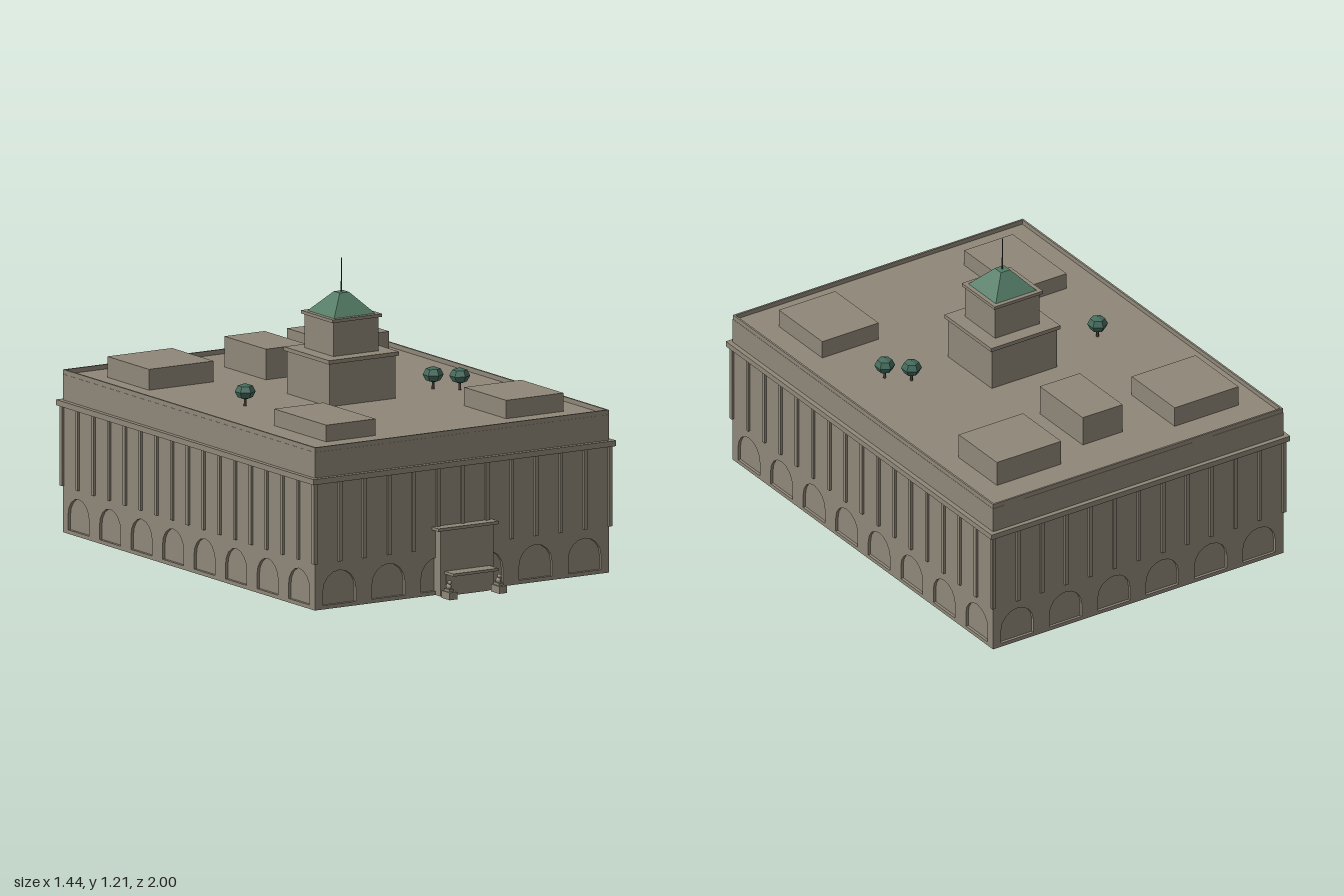
import * as THREE from 'three';

const mat = (name, color, opts = {}) => {
  const m = new THREE.MeshStandardMaterial({ color, ...opts });
  m.name = name;
  return m;
};

export function createModel() {
  const model = new THREE.Group();
  const stone = mat('stone', 0x8f8778);
  const wallStone = stone.clone();
  wallStone.side = THREE.DoubleSide;
  const copper = mat('copper green', 0x527a64, { flatShading: true });
  const leaf = mat('leaf green', 0x41695a, { flatShading: true });
  const dark = mat('dark metal', 0x45504b);
  const bark = mat('bark', 0x4a4238);

  const add = (name, geo, material, x = 0, y = 0, z = 0, parent = model) => {
    const m = new THREE.Mesh(geo, material);
    m.name = name;
    m.position.set(x, y, z);
    parent.add(m);
    return m;
  };
  // Box given by its extents on each axis
  const block = (name, x0, x1, y0, y1, z0, z1, material = stone, parent = model) =>
    add(name, new THREE.BoxGeometry(x1 - x0, y1 - y0, z1 - z0), material,
      (x0 + x1) / 2, (y0 + y1) / 2, (z0 + z1) / 2, parent);

  const HX = 0.7, HZ = 0.93, CZ = -0.05;
  const BASE = 0.19, EAVE = 0.517, ROOF = 0.645, RECESS = 0.012;

  // One facade: arcaded base, upper wall and a row of pilasters
  function facade(name, length, arches, distance, angle) {
    const g = new THREE.Group();
    g.name = name;
    g.position.z = CZ;
    g.rotation.y = angle;
    model.add(g);

    const shape = new THREE.Shape();
    shape.moveTo(-length / 2, 0);
    shape.lineTo(length / 2, 0);
    shape.lineTo(length / 2, BASE);
    shape.lineTo(-length / 2, BASE);
    shape.closePath();
    const bay = length / arches, r = 0.078;
    for (let i = 0; i < arches; i++) {
      const c = -length / 2 + (i + 0.5) * bay;
      const hole = new THREE.Path();
      hole.moveTo(c - r, 0.016);
      hole.lineTo(c - r, 0.075);
      for (let k = 0; k <= 8; k++) {
        const a = Math.PI * (1 - k / 8);
        hole.lineTo(c + r * Math.cos(a), 0.075 + r * Math.sin(a));
      }
      hole.lineTo(c + r, 0.016);
      hole.closePath();
      shape.holes.push(hole);
    }
    add('arcade', new THREE.ExtrudeGeometry(shape, { depth: RECESS, bevelEnabled: false }),
      stone, 0, 0, distance - RECESS, g);
    add('archBacking', new THREE.PlaneGeometry(length - 2 * RECESS, BASE), wallStone,
      0, BASE / 2, distance - RECESS, g);
    add('upperWall', new THREE.PlaneGeometry(length, EAVE - BASE), wallStone,
      0, (BASE + EAVE) / 2, distance, g);
    for (let i = 0; i <= arches * 2; i++) {
      const x = -length / 2 + i * bay / 2;
      block('pilaster', x - 0.008, x + 0.008, BASE, EAVE, distance - 0.002, distance + 0.01, stone, g);
    }
  }
  facade('frontFacade', 2 * HX, 6, HZ, 0);
  facade('backFacade', 2 * HX, 6, HZ, Math.PI);
  facade('leftFacade', 2 * HZ, 8, HX, Math.PI / 2);
  facade('rightFacade', 2 * HZ, 8, HX, -Math.PI / 2);

  // Cornice, attic and thin roof rim
  block('cornice', -0.72, 0.72, EAVE, 0.54, CZ - 0.95, CZ + 0.95);
  block('attic', -HX, HX, 0.54, ROOF, CZ - HZ, CZ + HZ);
  for (const s of [-1, 1]) {
    const x = s * 0.695, z = CZ + s * 0.925;
    block('roofRim', x - 0.004, x + 0.004, ROOF, 0.664, CZ - 0.929, CZ + 0.929);
    block('roofRim', -0.691, 0.691, ROOF, 0.664, z - 0.004, z + 0.004);
  }

  // Rooftop blocks: x0, x1, z0, z1, top
  [
    [-0.585, -0.277, -0.83, -0.523, 0.73],
    [-0.08, 0.112, -0.75, -0.443, 0.77],
    [0.27, 0.58, -0.83, -0.557, 0.75],
    [-0.546, -0.312, 0.34, 0.725, 0.713],
    [0.308, 0.58, 0.418, 0.728, 0.72],
  ].forEach(([x0, x1, z0, z1, top]) => block('roofBlock', x0, x1, ROOF, top, z0, z1));

  // Tower tiers: half width, bottom, top
  const TZ = -0.01;
  [
    ['lowerTier', 0.157, ROOF, 0.82],
    ['lowerLedge', 0.167, 0.82, 0.836],
    ['upperTier', 0.107, 0.836, 0.975],
    ['upperLedge', 0.117, 0.975, 0.988],
  ].forEach(([name, h, y0, y1]) => block(name, -h, h, y0, y1, TZ - h, TZ + h));
  const spireRoof = new THREE.CylinderGeometry(0.022 * Math.SQRT2, 0.098 * Math.SQRT2, 0.083, 4);
  spireRoof.rotateY(Math.PI / 4);
  add('towerRoof', spireRoof, copper, 0, 1.0295, TZ);
  add('finial', new THREE.CylinderGeometry(0.002, 0.003, 0.14, 6), dark, 0, 1.14, TZ);

  // Rooftop trees
  for (const [x, z] of [[-0.43, -0.053], [0.386, 0.068], [0.463, 0.145]]) {
    add('treeTrunk', new THREE.CylinderGeometry(0.005, 0.006, 0.04, 6), bark, x, 0.663, z);
    const crown = add('treeCrown', new THREE.SphereGeometry(0.042, 6, 4), leaf, x, 0.704, z);
    crown.rotation.y = Math.PI / 6;
    crown.scale.y = 0.8;
  }

  // Entrance portal with canopy
  block('portal', -0.126, 0.126, 0, 0.268, 0.87, 0.918);
  block('portalCap', -0.144, 0.144, 0.268, 0.28, 0.87, 0.929);
  block('door', -0.1, 0.1, 0, 0.09, 0.916, 0.922);
  block('canopy', -0.107, 0.107, 0.09, 0.101, 0.916, 0.982);

  // Pedestals carrying small seated statues
  for (const s of [-1, 1]) {
    const x = s * 0.118;
    block('pedestal', x - 0.018, x + 0.018, 0, 0.03, 0.938, 1.0);
    block('statueBase', x - 0.011, x + 0.011, 0.03, 0.04, 0.948, 0.986);
    const body = add('statueBody', new THREE.SphereGeometry(0.012, 8, 6), stone, x, 0.048, 0.965);
    body.scale.set(0.85, 1.2, 1.1);
    add('statueHead', new THREE.SphereGeometry(0.009, 8, 6), stone, x, 0.066, 0.972);
  }
  return model;
}
